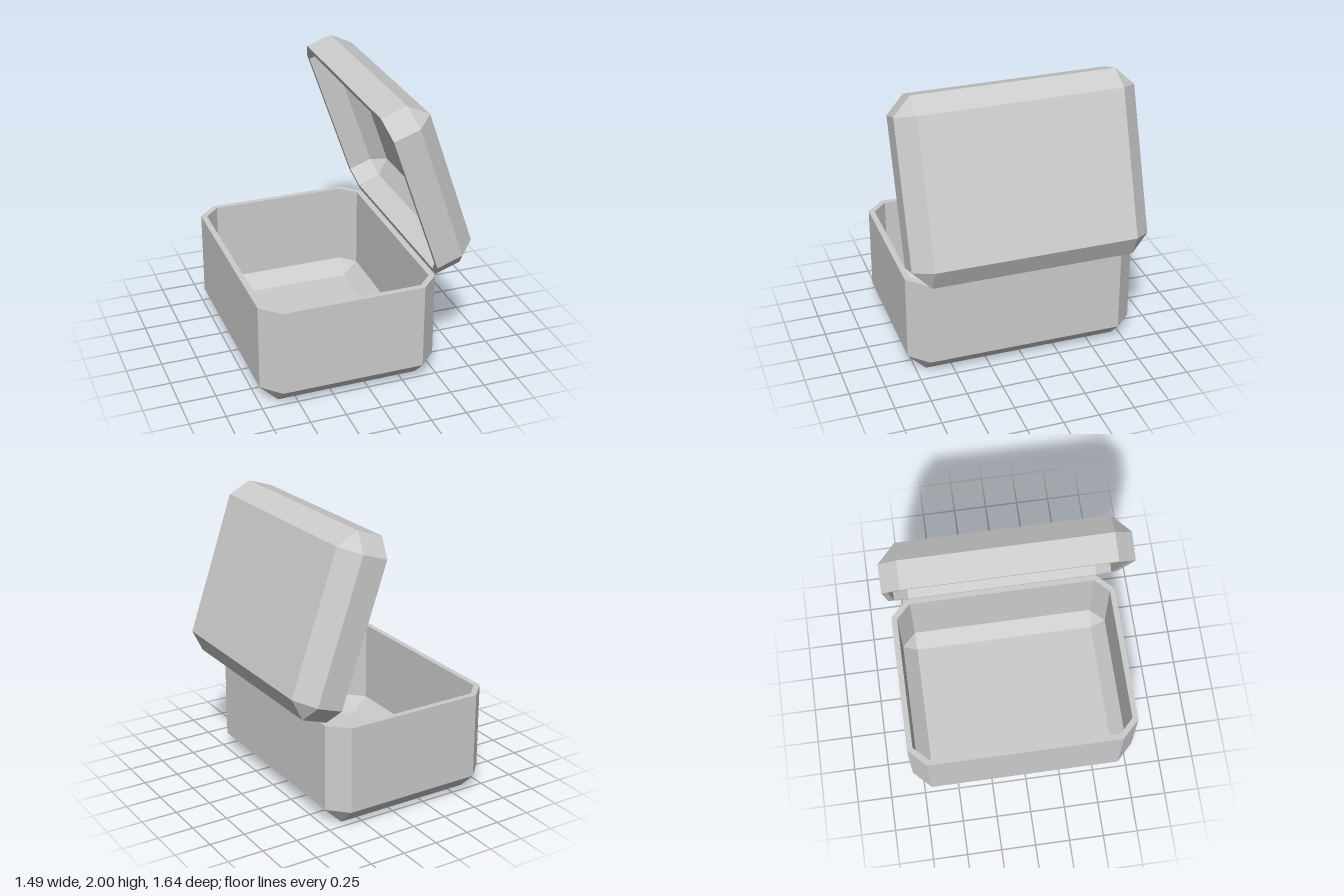
import * as THREE from 'three';

// Eight-point loop: a rectangle with its corners cut by c (c = 0 gives sharp, doubled corners)
function ring(w, d, y, c) {
  return [
    [w, d - c], [w - c, d], [c - w, d], [-w, d - c],
    [-w, c - d], [c - w, -d], [w - c, -d], [w, c - d],
  ].map(([x, z]) => new THREE.Vector3(x, y, z));
}

// Hollow open-topped tray with chamfered corners and lower edges, standing on y = 0
function trayGeometry(width, depth, height, cut, wall) {
  const w = width / 2, d = depth / 2;
  const iw = w - wall, id = d - wall, ic = cut - wall * (2 - Math.SQRT2);
  const rings = [
    ring(0, 0, 0, 0),                          // centre of the underside
    ring(w - cut, d - cut, 0, 0),
    ring(w, d, cut, cut),
    ring(w, d, height, cut),                   // outer rim
    ring(iw, id, height, ic),                  // inner rim
    ring(iw, id, wall + ic, ic),
    ring(iw - ic, id - ic, wall, 0),
    ring(0, 0, wall, 0),                       // centre of the inside floor
  ];
  const positions = [];
  const triangle = new THREE.Triangle();
  const addFace = (a, b, c) => {
    if (triangle.set(a, b, c).getArea() < 1e-7) return;
    for (const p of [a, b, c]) positions.push(p.x, p.y, p.z);
  };
  for (let r = 0; r < rings.length - 1; r++) {
    const a = rings[r], b = rings[r + 1];
    for (let i = 0; i < 8; i++) {
      const j = (i + 1) % 8;
      addFace(a[i], b[i], a[j]);
      addFace(b[i], b[j], a[j]);
    }
  }
  const geometry = new THREE.BufferGeometry();
  geometry.setAttribute('position', new THREE.Float32BufferAttribute(positions, 3));
  geometry.computeVertexNormals();
  return geometry;
}

export function createModel() {
  const group = new THREE.Group();
  group.name = 'openBox';
  const grey = new THREE.MeshStandardMaterial({ color: 0xcccccc, flatShading: true });
  grey.name = 'light grey';

  // Lower half
  const base = new THREE.Mesh(trayGeometry(1.245, 1.625, 0.735, 0.125, 0.04), grey);
  base.name = 'boxBase';
  base.position.set(-0.123, 0, -0.007);
  group.add(base);

  // Lid swung open, its hollow side facing the base
  const lid = new THREE.Mesh(trayGeometry(1.253, 1.64, 0.31, 0.123, 0.04), grey);
  lid.name = 'openLid';
  lid.position.set(0.578, 1.449, 0);
  lid.rotation.z = 1.904;
  group.add(lid);

  return group;
}
